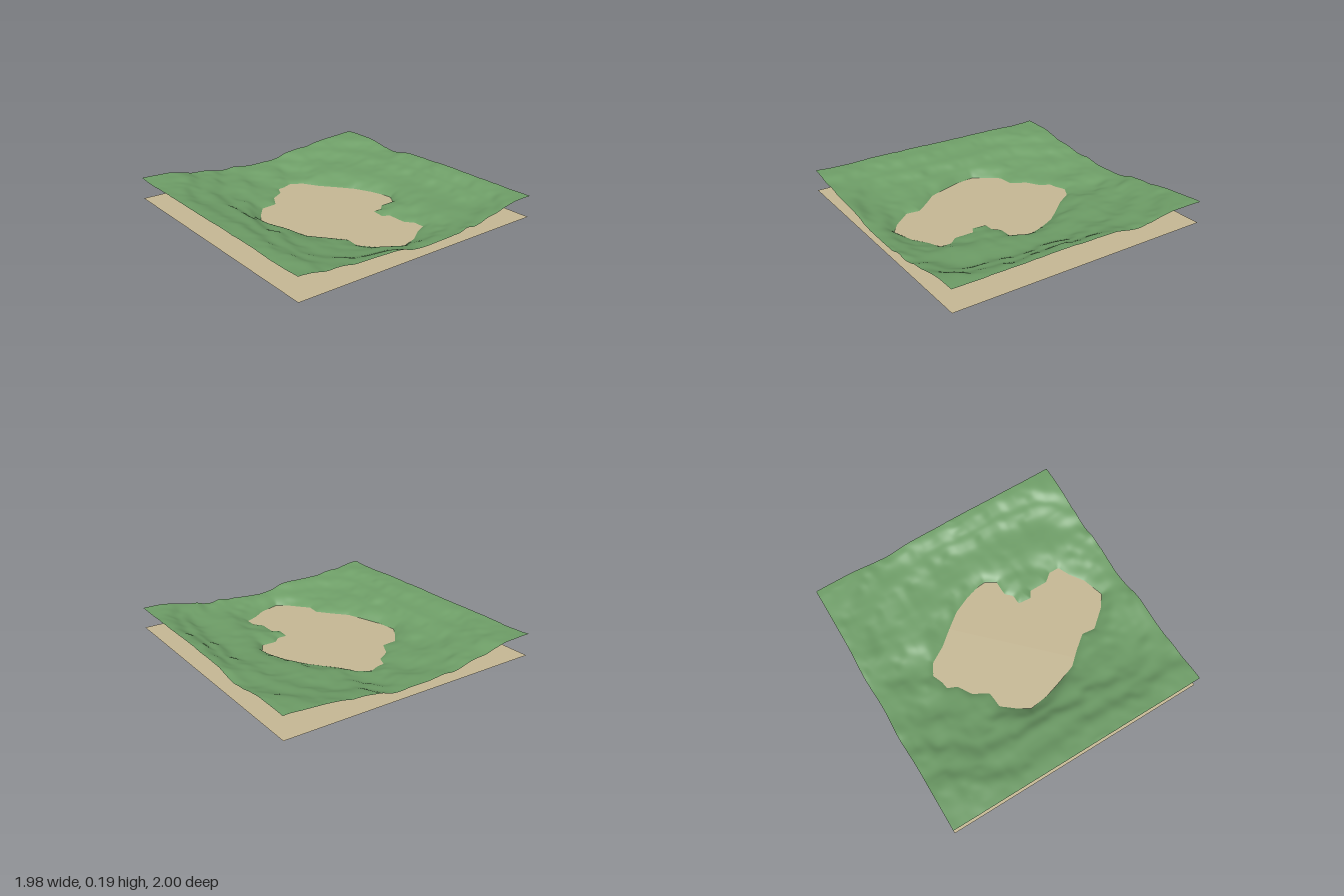
import * as THREE from 'three';

const WATER = 0.028; // level of the flat sheet
const HALF = 0.99;

// Valley heights in hundredths, rows back to front, columns -x to +x
const HEIGHTS = [
  [19, 18, 14, 11, 9.5, 11, 15, 17, 19],
  [18, 16, 11, 7, 6, 7, 11, 15, 19],
  [19, 14, 7.5, 6, 5, 6, 9, 13, 15],
  [19, 14, 6.5, 5, 5, 5, 8, 12, 18],
  [19, 14, 6, 5, 5, 5, 6.5, 10.5, 19],
  [19, 13.5, 7, 5, 5, 5, 7, 10, 19],
  [19, 13, 7.5, 5.5, 5, 5, 7.5, 11, 18.5],
  [19, 14, 9, 6.5, 5, 6, 9, 12, 18.5],
  [19, 16, 13, 12.5, 9.5, 10, 12, 16, 19],
];

// Shoreline as x, z pairs
const SHORE = [
  [0.04, -0.57], [0.13, -0.52], [0.2, -0.4], [0.3, -0.28], [0.38, -0.18], [0.44, -0.05],
  [0.47, 0.05], [0.48, 0.12], [0.43, 0.2], [0.32, 0.2], [0.27, 0.25], [0.2, 0.25],
  [0.19, 0.35], [0.24, 0.38], [0.24, 0.52], [0.29, 0.58], [0.29, 0.66], [0.2, 0.7],
  [0.1, 0.77], [-0.06, 0.82], [-0.15, 0.75], [-0.2, 0.69], [-0.26, 0.62], [-0.25, 0.52],
  [-0.33, 0.42], [-0.42, 0.32], [-0.47, 0.18], [-0.51, 0.05], [-0.53, -0.1], [-0.48, -0.18],
  [-0.4, -0.28], [-0.28, -0.29], [-0.22, -0.4], [-0.12, -0.46], [-0.09, -0.53], [-0.03, -0.54],
];

// Signed distance to the shoreline, positive on land
function shoreDistance(x, z) {
  let best = Infinity;
  let inside = false;
  SHORE.forEach(([ax, az], i) => {
    const [bx, bz] = SHORE[(i + 1) % SHORE.length];
    const dx = bx - ax, dz = bz - az;
    const t = THREE.MathUtils.clamp(((x - ax) * dx + (z - az) * dz) / (dx * dx + dz * dz), 0, 1);
    best = Math.min(best, Math.hypot(x - ax - t * dx, z - az - t * dz));
    if ((az > z) !== (bz > z) && x < ax + (dx * (z - az)) / dz) inside = !inside;
  });
  return inside ? -best : best;
}

// Catmull-Rom interpolation along one list of values
function spline(list, u) {
  const i = Math.min(Math.floor(u), list.length - 2);
  const t = u - i;
  const at = (k) => list[THREE.MathUtils.clamp(k, 0, list.length - 1)];
  const [a, b, c, d] = [at(i - 1), at(i), at(i + 1), at(i + 2)];
  return b + 0.5 * t * (c - a + t * (2 * a - 5 * b + 4 * c - d + t * (3 * (b - c) + d - a)));
}

// Smooth value noise in the range -1 to 1
function noise(x, z) {
  const hash = (i, j) => {
    const s = Math.sin(i * 127.1 + j * 311.7) * 43758.5453;
    return 2 * (s - Math.floor(s)) - 1;
  };
  const i = Math.floor(x), j = Math.floor(z);
  const u = THREE.MathUtils.smoothstep(x - i, 0, 1);
  const v = THREE.MathUtils.smoothstep(z - j, 0, 1);
  const { lerp } = THREE.MathUtils;
  return lerp(lerp(hash(i, j), hash(i + 1, j), u), lerp(hash(i, j + 1), hash(i + 1, j + 1), u), v);
}

function groundHeight(x, z) {
  const d = shoreDistance(x, z);
  // Steep-sided lake bed
  if (d < 0) return WATER - 0.022 * (1 - Math.exp(d / 0.03)) + 0.003 * noise(x * 9, z * 9) * Math.min(1, -d / 0.1);
  const u = (x / HALF + 1) * 4, v = (z / HALF + 1) * 4;
  let h = spline(HEIGHTS.map((row) => spline(row, u)), v) / 100;
  h += 0.009 * noise(x * 6 + 3, z * 6) + 0.004 * noise(x * 14, z * 14 + 7);
  // Faint terraces in the slopes
  const step = 0.047;
  h -= ((0.55 * step) / (2 * Math.PI)) * Math.sin((2 * Math.PI * (h - 0.043)) / step);
  h = THREE.MathUtils.clamp(h, WATER + 0.01, 0.19);
  return WATER + (h - WATER) * (1 - Math.exp(-d / 0.035));
}

function sheet(name, color, segments) {
  const geometry = new THREE.PlaneGeometry(2 * HALF, 2 * HALF, segments, segments).rotateX(-Math.PI / 2);
  const mesh = new THREE.Mesh(geometry, new THREE.MeshStandardMaterial({ color, side: THREE.DoubleSide }));
  mesh.name = name;
  return mesh;
}

export function createModel() {
  const group = new THREE.Group();
  group.name = 'lakeValley';

  // Terrain relief
  const terrain = sheet('terrain', 0x6f9f68, 180);
  const pos = terrain.geometry.attributes.position;
  let lowest = Infinity;
  for (let i = 0; i < pos.count; i++) {
    const x = pos.getX(i), z = pos.getZ(i);
    const y = groundHeight(x, z);
    lowest = Math.min(lowest, y);
    // Slightly bulging front and back rims
    const bulge = Math.abs(z) > 0.985 ? 0.01 * Math.exp(-(((Math.abs(x) - 0.25) / 0.15) ** 2)) : 0;
    pos.setXYZ(i, x, y, z + Math.sign(z) * bulge);
  }
  terrain.geometry.translate(0, -lowest, 0);
  terrain.geometry.computeVertexNormals();

  // Flat sheet showing through the valley floor
  const water = sheet('waterSheet', 0xc8ba96, 1);
  water.position.y = WATER - lowest;

  group.add(terrain, water);
  return group;
}
